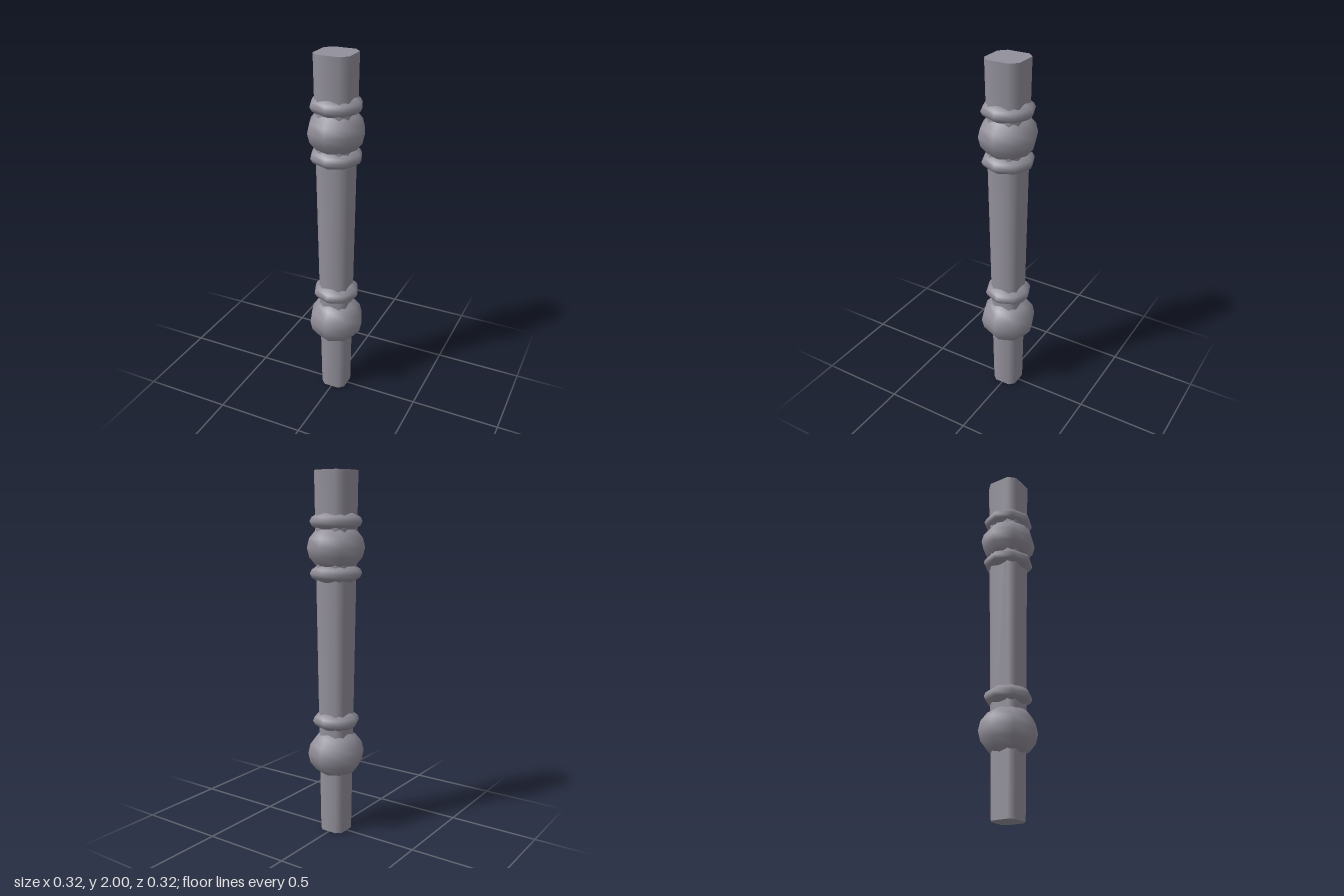
import * as THREE from 'three';

export function createModel() {
  const group = new THREE.Group();
  const stone = new THREE.MeshStandardMaterial({ color: 0x928f9a });
  stone.name = 'greyStone';

  // Tapered shaft: an octagonal cylinder reshaped into a square with chamfered corners
  const shaftGeometry = new THREE.CylinderGeometry(1, 1, 2, 8, 1, false, Math.PI / 8);
  const pos = shaftGeometry.attributes.position;
  const chamfer = (v) => (Math.abs(v) < 0.01 ? 0 : Math.sign(v) * (Math.abs(v) > 0.6 ? 1 : 0.62));
  for (let i = 0; i < pos.count; i++) {
    const half = pos.getY(i) > 0 ? 0.099 : 0.073;
    pos.setXYZ(i, chamfer(pos.getX(i)) * half, pos.getY(i) + 1, chamfer(pos.getZ(i)) * half);
  }
  const shaft = new THREE.Mesh(shaftGeometry, stone);
  shaft.name = 'shaft';
  group.add(shaft);

  // Turned balls and collars: low-poly spheres flattened along the shaft
  const bulge = (name, y, radius, halfHeight) => {
    const geometry = new THREE.SphereGeometry(radius, 8, 8);
    geometry.scale(1, halfHeight / radius, 1);
    const mesh = new THREE.Mesh(geometry, stone);
    mesh.name = name;
    mesh.position.y = y;
    group.add(mesh);
  };
  bulge('lowerBall', 0.457, 0.159, 0.14);
  bulge('lowerCollar', 0.647, 0.131, 0.06);
  bulge('middleCollar', 1.463, 0.143, 0.06);
  bulge('upperBall', 1.6, 0.158, 0.13);
  bulge('upperCollar', 1.737, 0.143, 0.06);

  return group;
}
